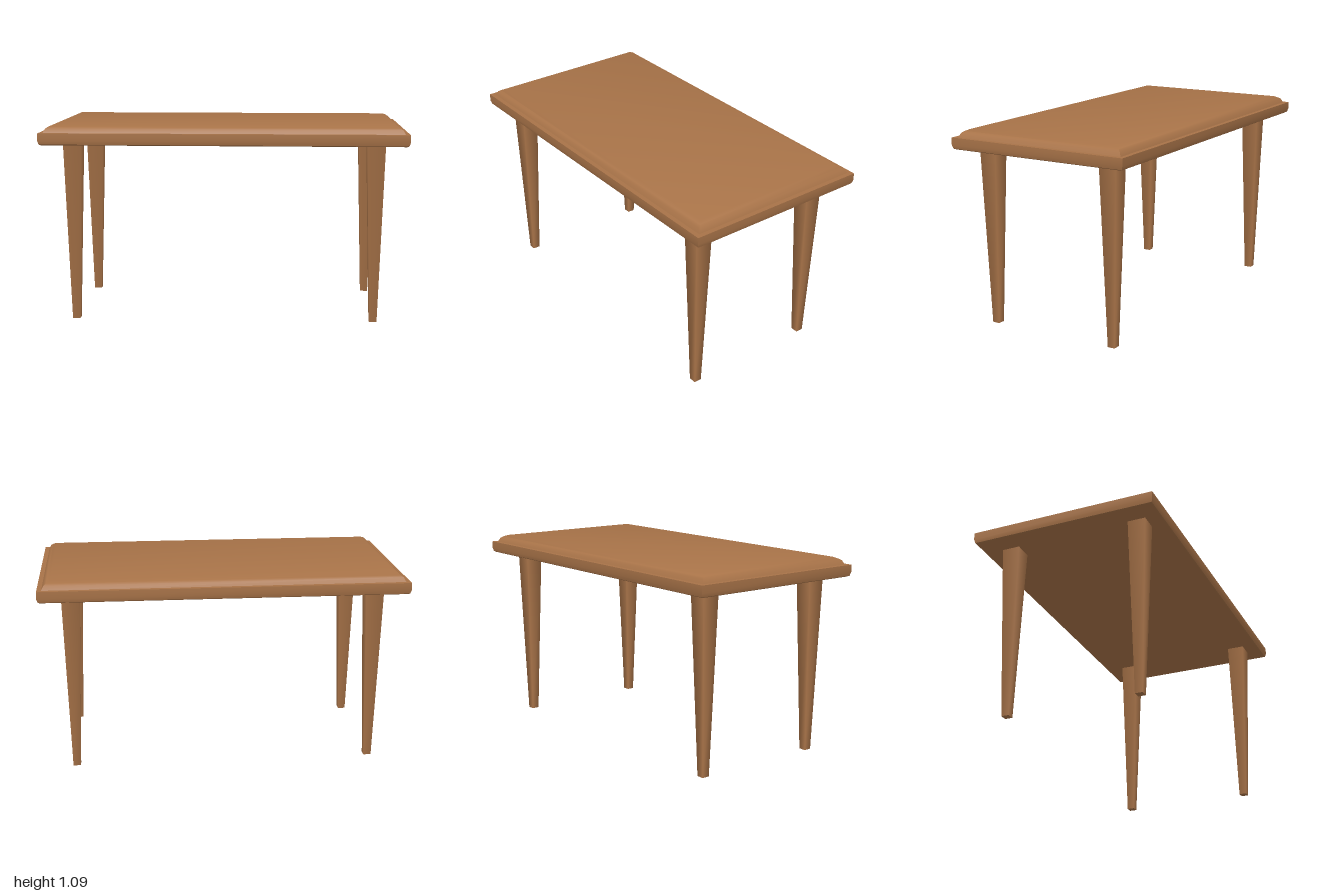
import * as THREE from 'three';
import { toCreasedNormals } from 'three/addons/utils/BufferGeometryUtils.js';

const HALF_X = 1, HALF_Z = 0.525;

// Stacks rectangles, each given as [inset from the edge, height], and caps both ends.
function stackedRectangles(profile) {
  const positions = [];
  const index = [];
  for (const [inset, y] of profile) {
    const x = HALF_X - inset, z = HALF_Z - inset;
    positions.push(-x, y, z, x, y, z, x, y, -z, -x, y, -z);
  }
  for (let ring = 0; ring < profile.length - 1; ring++) {
    for (let i = 0; i < 4; i++) {
      const a = ring * 4 + i, b = ring * 4 + (i + 1) % 4;
      index.push(a, b, b + 4, a, b + 4, a + 4);
    }
  }
  const top = (profile.length - 1) * 4;
  index.push(0, 2, 1, 0, 3, 2);
  index.push(top, top + 1, top + 2, top, top + 2, top + 3);
  const geometry = new THREE.BufferGeometry();
  geometry.setAttribute('position', new THREE.Float32BufferAttribute(positions, 3));
  geometry.setIndex(index);
  return toCreasedNormals(geometry, 0.75);
}

export function createModel() {
  const table = new THREE.Group();
  table.name = 'table';
  const wood = new THREE.MeshStandardMaterial({ color: 0xa87348 });
  wood.name = 'warm brown wood';

  function add(name, geometry) {
    const mesh = new THREE.Mesh(geometry, wood);
    mesh.name = name;
    table.add(mesh);
    return mesh;
  }

  // Slab with a softened lower edge, a narrow ledge and a raised, rounded panel
  add('tableTop', stackedRectangles([
    [0.016, 0.985], [0.006, 0.99], [0, 1.01], [0, 1.05],
    [0.025, 1.05], [0.037, 1.073], [0.05, 1.082], [0.07, 1.091],
  ]));

  // Square legs with softly shaded sides, tapering to the foot
  const legHeight = 0.99;
  const legGeometry = new THREE.CylinderGeometry(0.05 * Math.SQRT2, 0.021 * Math.SQRT2, legHeight, 4);
  legGeometry.rotateY(Math.PI / 4);
  for (const [sideName, x] of [['Left', 0.828], ['Right', -0.828]]) {
    for (const [endName, z] of [['front', 0.385], ['back', -0.362]]) {
      add(endName + sideName + 'Leg', legGeometry).position.set(x, legHeight / 2, z);
    }
  }
  return table;
}
